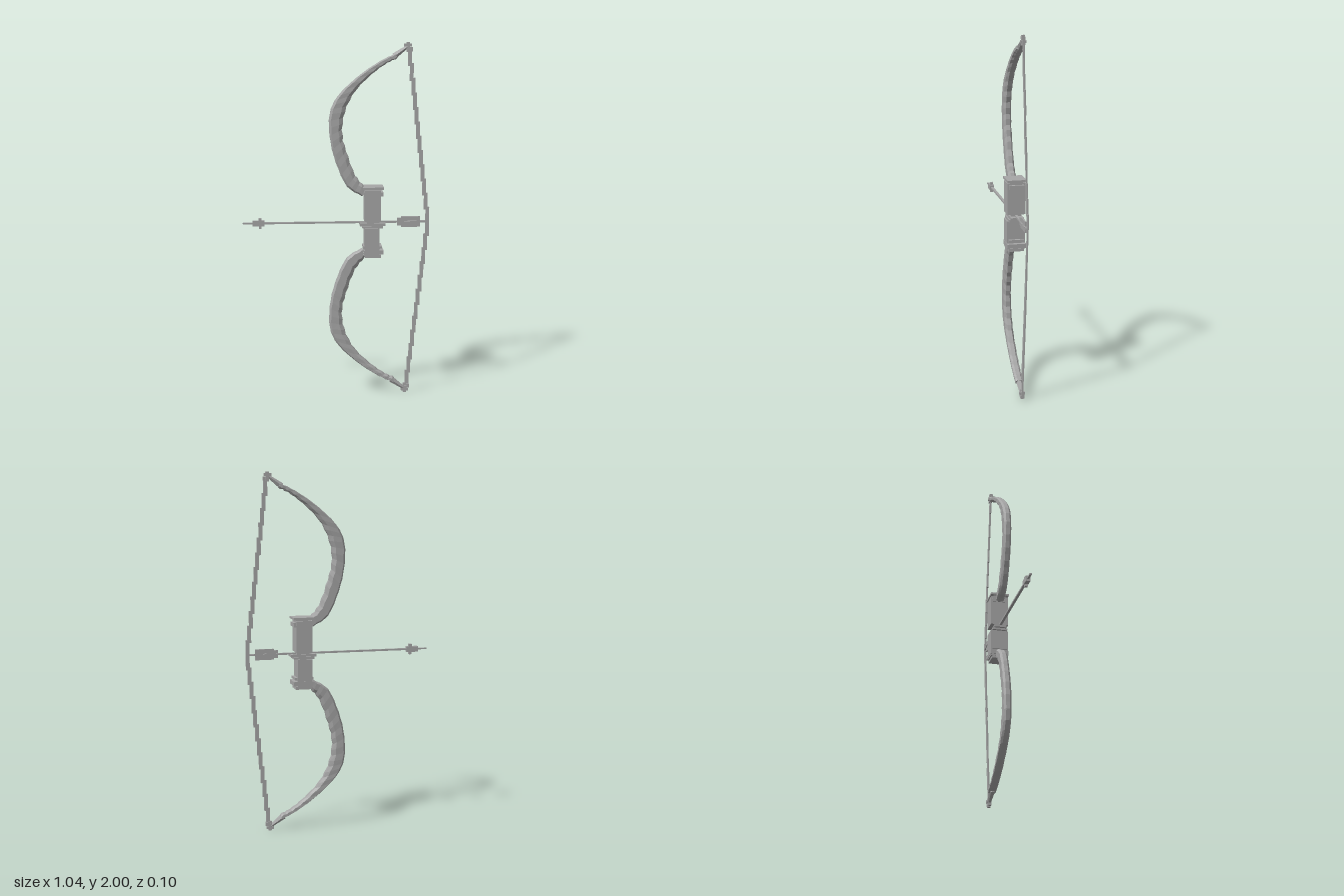
import * as THREE from 'three';

const grey = new THREE.MeshStandardMaterial({ color: 0xa6a6a6, flatShading: true });
grey.name = 'grey';

function add(parent, geometry, name) {
  const mesh = new THREE.Mesh(geometry, grey);
  mesh.name = name;
  parent.add(mesh);
  return mesh;
}

// Box given by its x range, y range and half depth
function box(parent, name, x0, x1, y0, y1, hz) {
  const mesh = add(parent, new THREE.BoxGeometry(x1 - x0, y1 - y0, hz * 2), name);
  mesh.position.set((x0 + x1) / 2, (y0 + y1) / 2, 0);
  return mesh;
}

// Curved limb lofted between an outer and an inner edge, heights above the arrow line
function limbGeometry() {
  const curve = pts => new THREE.CatmullRomCurve3(pts.map(([x, y]) => new THREE.Vector3(x, y, 0)));
  const outer = curve([[0.14, 0.15], [0.06, 0.2], [0, 0.32], [-0.037, 0.46], [-0.04, 0.61],
    [0, 0.7], [0.125, 0.82], [0.245, 0.9], [0.32, 0.936]]);
  const inner = curve([[0.155, 0.2], [0.105, 0.26], [0.055, 0.39], [0.028, 0.5], [0.042, 0.62],
    [0.1, 0.735], [0.205, 0.838], [0.28, 0.89], [0.33, 0.912]]);
  const section = [[0, 0.5], [0.14, 1], [0.72, 1], [1, 0.5], [1, -0.5], [0.72, -1], [0.14, -1], [0, -0.5]];
  const rings = 30, n = section.length, pos = [], idx = [];
  for (let i = 0; i <= rings; i++) {
    const t = i / rings, bump = i % 2 ? 0.003 : -0.003;
    const a = outer.getPoint(t), b = inner.getPoint(t);
    const dir = b.clone().sub(a).normalize();
    b.addScaledVector(dir, bump);
    a.addScaledVector(dir, bump * 0.4);
    const w = 0.0215 + bump * 0.2;
    for (const [s, z] of section) pos.push(a.x + (b.x - a.x) * s, a.y + (b.y - a.y) * s, z * w);
  }
  for (let i = 0; i < rings; i++) {
    for (let j = 0; j < n; j++) {
      const a = i * n + j, b = i * n + (j + 1) % n;
      idx.push(a, b, b + n, a, b + n, a + n);
    }
  }
  for (let j = 1; j < n - 1; j++) {
    const e = rings * n;
    idx.push(0, j + 1, j, e, e + j, e + j + 1);
  }
  const g = new THREE.BufferGeometry();
  g.setAttribute('position', new THREE.Float32BufferAttribute(pos, 3));
  g.setIndex(idx);
  g.computeVertexNormals();
  return g;
}

// One half of the bow: limb, tip and stepped half of the string
function bowHalf(name) {
  const half = new THREE.Group();
  half.name = name;
  add(half, limbGeometry(), 'limb');

  const neck = add(half, new THREE.CylinderGeometry(0.009, 0.018, 0.09, 6), 'limbTip');
  neck.position.set(0.348, 0.948, 0);
  neck.rotation.z = -0.95;
  box(half, 'nockPost', 0.38, 0.398, 0.945, 0.998, 0.008);
  box(half, 'nockCollar', 0.368, 0.408, 0.975, 0.99, 0.009);
  box(half, 'nockBar', 0.385, 0.4, 0.957, 0.972, 0.015);
  box(half, 'stringLoop', 0.383, 0.414, 0.95, 0.972, 0.008);

  const steps = 12;
  for (let i = 0; i < steps; i++) {
    const x = 0.507 - 0.106 * i / (steps - 1);
    const y = 0.96 * i / steps;
    box(half, 'stringStep', x - 0.011, x + 0.01, y - (i ? 0.012 : 0), y + 0.084, 0.004);
  }
  return half;
}

export function createModel() {
  const model = new THREE.Group();
  model.name = 'bowAndArrow';

  // Upper and lower halves of the bow
  const upper = bowHalf('upperBow');
  upper.position.y = 1;
  const lower = bowHalf('lowerBow');
  lower.position.y = 1;
  lower.rotation.x = Math.PI;
  model.add(upper, lower);

  // Grip, split by the arrow rest
  const grip = new THREE.Group();
  grip.name = 'grip';
  box(grip, 'upperGrip', 0.152, 0.242, 1.01, 1.185, 0.05);
  box(grip, 'upperBand', 0.148, 0.256, 1.152, 1.175, 0.042);
  box(grip, 'topNeck', 0.155, 0.242, 1.18, 1.197, 0.035);
  box(grip, 'topPlate', 0.142, 0.258, 1.192, 1.204, 0.052);
  box(grip, 'restCore', 0.165, 0.235, 0.97, 1.015, 0.028);
  box(grip, 'arrowRest', 0.127, 0.27, 0.984, 0.999, 0.035);
  box(grip, 'restLip', 0.14, 0.255, 0.972, 0.985, 0.042);
  box(grip, 'lowerGrip', 0.152, 0.235, 0.815, 0.972, 0.05);
  box(grip, 'lowerBand', 0.148, 0.258, 0.825, 0.848, 0.052);
  box(grip, 'lowerCollar', 0.145, 0.25, 0.856, 0.87, 0.042);
  box(grip, 'bottomPlate', 0.155, 0.245, 0.803, 0.82, 0.042);
  model.add(grip);

  // Arrow with stepped head and flat feathers
  const arrow = new THREE.Group();
  arrow.name = 'arrow';
  box(arrow, 'shaft', -0.465, 0.505, 0.996, 1.006, 0.007);
  box(arrow, 'point', -0.525, -0.46, 0.997, 1.005, 0.006);
  box(arrow, 'head', -0.472, -0.405, 0.985, 1.016, 0.012);
  box(arrow, 'headBarb', -0.436, -0.42, 0.971, 1.03, 0.008);
  for (const s of [1, -1]) {
    const feather = (n, x0, x1, a, b) =>
      box(arrow, n, x0, x1, 1.001 + Math.min(s * a, s * b), 1.001 + Math.max(s * a, s * b), 0.004);
    feather('featherFront', 0.337, 0.365, 0.003, 0.022);
    feather('featherMiddle', 0.36, 0.465, 0.003, 0.03);
  }
  box(arrow, 'sideFeather', 0.345, 0.465, 0.998, 1.004, 0.009);
  model.add(arrow);
  return model;
}
